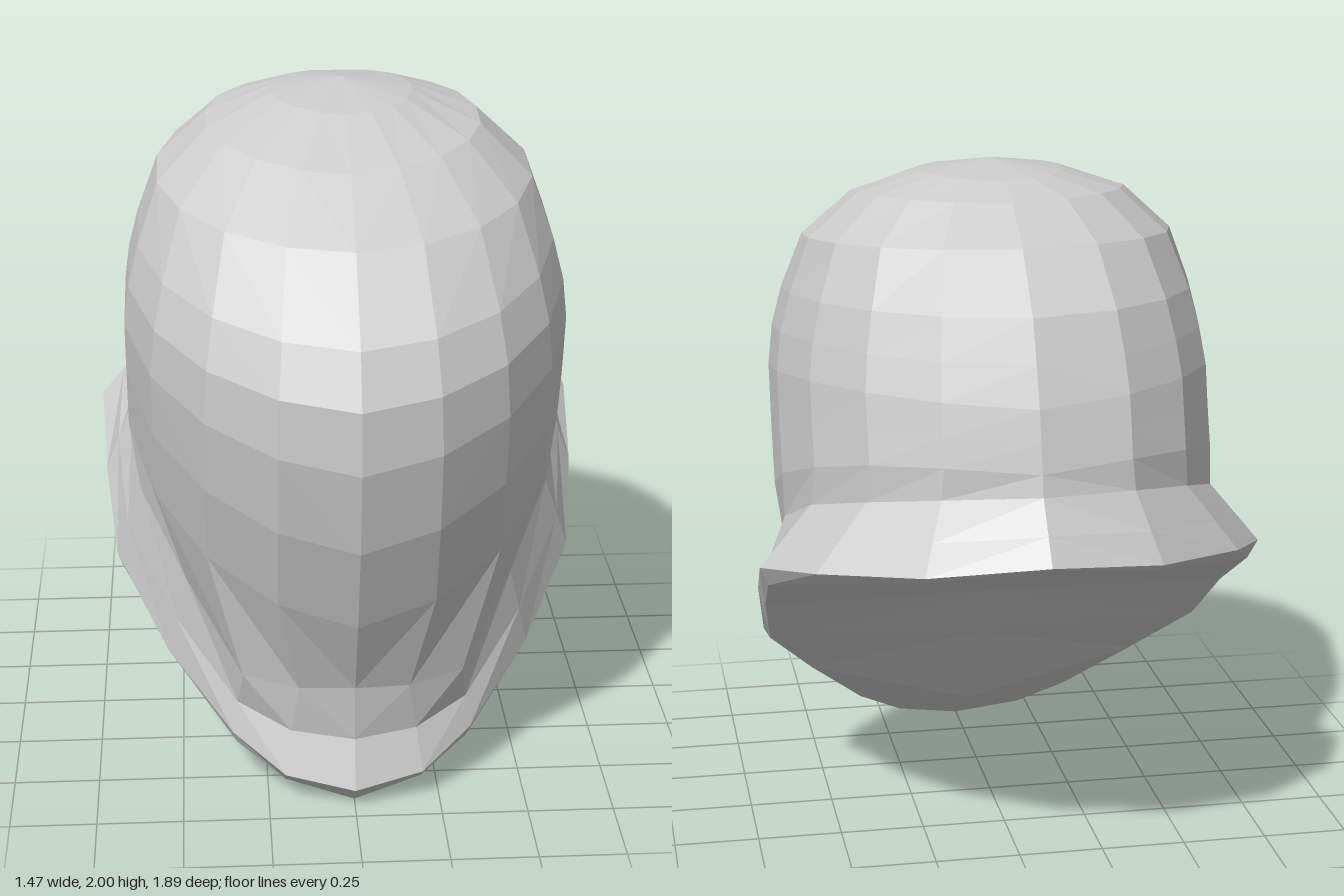
import * as THREE from 'three';

const HALF = 9; // columns from the middle of the back round one side to the middle of the front
const V = (x, y, z) => new THREE.Vector3(x, y, z);

// Half ring given as [x, y, z] per column
const ring = (pts) => pts.map((p) => V(...p));

// Half ring of the dome: an ellipse tilted from its back point to its front point,
// bowed up at the sides and a little fuller towards the back
function domeRing([frontY, frontZ, backY, backZ, width, bow]) {
  return Array.from({ length: HALF + 1 }, (_, i) => {
    const t = (Math.PI * i) / HALF;
    const k = (1 - Math.cos(t)) / 2;
    const s = i === HALF ? 0 : Math.sin(t);
    const x = width * (k < 0.5 ? s ** 0.85 : s);
    return V(x, backY + (frontY - backY) * k + bow * s, backZ + (frontZ - backZ) * k);
  });
}

// Mirrors the half rings into loops and skins them in order, with flat facets
function skin(name, halfRings, material) {
  const loops = halfRings.map((h) => [
    ...h,
    ...h.slice(1, HALF).reverse().map((p) => V(-p.x, p.y, p.z)),
  ]);
  const pos = [];
  const tri = (a, b, c) => {
    if (a.distanceTo(b) < 1e-5 || b.distanceTo(c) < 1e-5 || a.distanceTo(c) < 1e-5) return;
    for (const p of [a, b, c]) pos.push(p.x, p.y, p.z);
  };
  for (let r = 0; r < loops.length - 1; r++) {
    const lo = loops[r], hi = loops[r + 1], n = lo.length;
    for (let i = 0; i < n; i++) {
      const j = (i + 1) % n;
      if (i < HALF) { // the diagonals mirror from side to side
        tri(lo[i], hi[i], lo[j]);
        tri(lo[j], hi[i], hi[j]);
      } else {
        tri(lo[i], hi[i], hi[j]);
        tri(lo[i], hi[j], lo[j]);
      }
    }
  }
  const geo = new THREE.BufferGeometry();
  geo.setAttribute('position', new THREE.Float32BufferAttribute(pos, 3));
  geo.computeVertexNormals();
  const mesh = new THREE.Mesh(geo, material);
  mesh.name = name;
  return mesh;
}

export function createModel() {
  const group = new THREE.Group();
  group.name = 'helmet';
  const grey = new THREE.MeshStandardMaterial({ color: 0xcccccc, flatShading: true });

  // Spine that the underside facets run to, hanging as a keel near the front
  const a = [0, 0.95, -0.44], b = [0, 0.67, -0.03], c = [0, 0.46, 0.17], d = [0, 0.15, 0.4];
  const spine = ring([a, a, a, a, b, b, c, d, d, d]);

  // Lower edge of the brim
  const lip = ring([
    [0, 1.03, -0.93], [0.32, 0.985, -0.84], [0.58, 0.92, -0.61], [0.71, 0.84, -0.36], [0.7, 0.69, -0.11],
    [0.67, 0.51, 0.1], [0.52, 0.32, 0.32], [0.34, 0.13, 0.52], [0.2, 0.045, 0.6], [0, 0, 0.65],
  ]);

  // Outer edge of the brim
  const rim = ring([
    [0, 1.04, -0.945], [0.33, 1.0, -0.85], [0.6, 0.96, -0.64], [0.735, 0.9, -0.38], [0.72, 0.75, -0.12],
    [0.69, 0.55, 0.08], [0.54, 0.34, 0.32], [0.35, 0.17, 0.54], [0.2, 0.09, 0.66], [0, 0.06, 0.71],
  ]);

  // Crease where the brim meets the dome
  const neck = ring([
    [0, 1.2, -0.82], [0.27, 1.19, -0.76], [0.455, 1.15, -0.61], [0.585, 1.08, -0.38], [0.635, 0.97, -0.12],
    [0.61, 0.79, 0.15], [0.48, 0.6, 0.38], [0.32, 0.38, 0.58], [0.16, 0.37, 0.65], [0, 0.38, 0.68],
  ]);

  // Hollow of the brim, drawn in at the front
  const hollow = rim.map((p, i) => {
    const q = p.clone().lerp(neck[i], 0.45);
    if (i > 6) q.z -= 0.035;
    return q;
  });

  // Dome: front y, front z, back y, back z, half width, side bow
  const dome = [
    [0.63, 0.8, 1.26, -0.805, 0.65, 0.11],
    [0.9, 0.9, 1.34, -0.785, 0.65, 0.1],
    [1.15, 0.95, 1.43, -0.76, 0.65, 0.08],
    [1.33, 0.945, 1.54, -0.715, 0.635, 0.05],
    [1.48, 0.88, 1.66, -0.66, 0.605, 0.03],
    [1.69, 0.68, 1.82, -0.51, 0.545, 0.01],
    [1.84, 0.45, 1.92, -0.36, 0.4, 0.02],
    [1.95, 0.22, 1.965, -0.25, 0.21, 0.01],
  ].map(domeRing);
  const crown = ring(Array(HALF + 1).fill([0, 2, -0.03]));

  group.add(skin('underside', [spine, lip], grey));
  group.add(skin('brim', [lip, rim, hollow, neck], grey));
  group.add(skin('dome', [neck, ...dome, crown], grey));
  return group;
}
